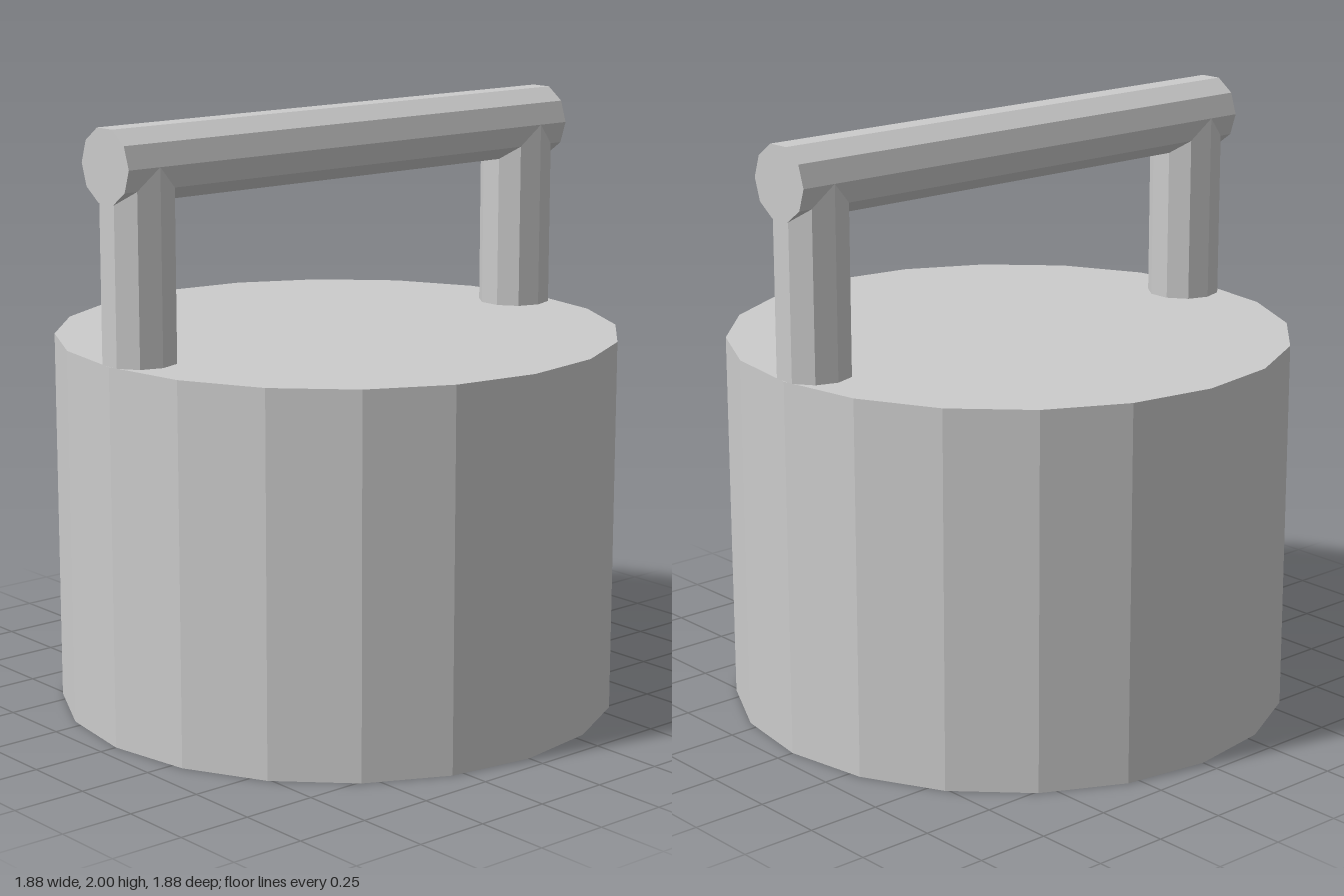
import * as THREE from 'three';

const BODY_RADIUS = 0.94;
const BODY_HEIGHT = 1.254;
const ROD_RADIUS = 0.123;
const BAR_Y = 1.884;
const POST_Z = 0.82;

export function createModel() {
  const model = new THREE.Group();
  const material = new THREE.MeshStandardMaterial({ color: 0xcccccc, flatShading: true });

  const add = (name, geometry, x, y, z) => {
    const mesh = new THREE.Mesh(geometry, material);
    mesh.name = name;
    mesh.position.set(x, y, z);
    model.add(mesh);
    return mesh;
  };

  // Ten-sided rod with a corner on the x axis and flats facing z
  const rod = (length) =>
    new THREE.CylinderGeometry(ROD_RADIUS, ROD_RADIUS, length, 10, 1, false, Math.PI / 2);

  // Twenty-sided drum
  add('body', new THREE.CylinderGeometry(BODY_RADIUS, BODY_RADIUS, BODY_HEIGHT, 20),
    0, BODY_HEIGHT / 2, 0);

  // Upright posts, running from the lid into the middle of the bar
  const postLength = BAR_Y - BODY_HEIGHT;
  for (const [name, side] of [['frontPost', 1], ['backPost', -1]]) {
    add(name, rod(postLength), 0, BODY_HEIGHT + postLength / 2, side * POST_Z);
  }

  // Horizontal handle bar, front to back
  add('handleBar', rod(BODY_RADIUS * 2).rotateX(Math.PI / 2), 0, BAR_Y, 0);

  return model;
}
